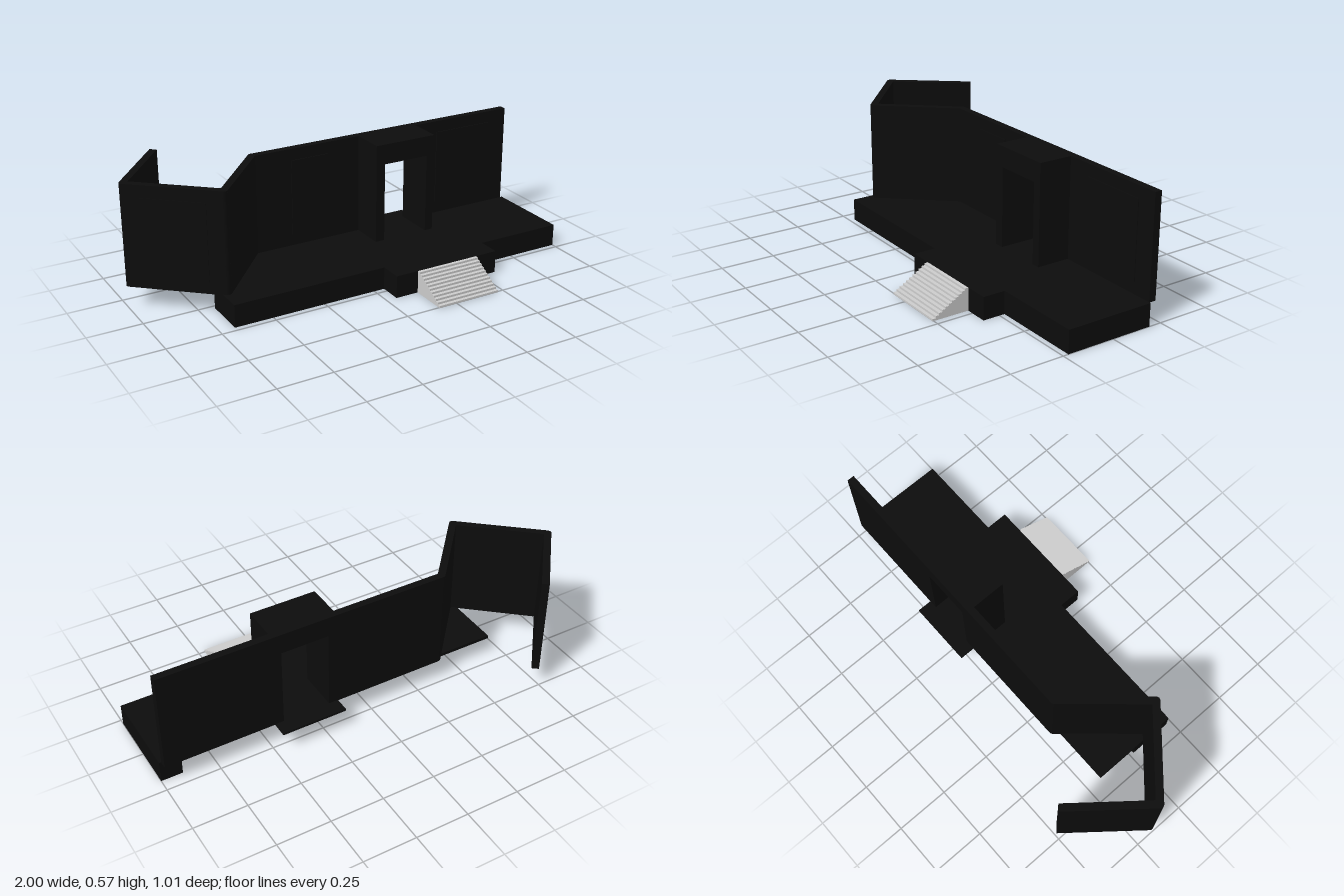
import * as THREE from 'three';

const black = new THREE.MeshStandardMaterial({ color: 0x0c0c0c });
const grey = new THREE.MeshStandardMaterial({ color: 0xcccccc });

const FLOOR = 0.105, WALL_BASE = 0.102, WALL_TOP = 0.575, THICK = 0.034;

function add(group, name, geometry, material = black) {
  const mesh = new THREE.Mesh(geometry, material);
  mesh.name = name;
  group.add(mesh);
  return mesh;
}

// Box given by its extents on each axis
function box(group, name, [x0, x1], [y0, y1], [z0, z1], material = black) {
  const mesh = add(group, name, new THREE.BoxGeometry(x1 - x0, y1 - y0, z1 - z0), material);
  mesh.position.set((x0 + x1) / 2, (y0 + y1) / 2, (z0 + z1) / 2);
  return mesh;
}

// Upright sheet with a doorway notch, extruded between two depths
function doorSheet(group, name, x0, x1, z0, z1) {
  const s = new THREE.Shape([
    [x0, WALL_BASE], [0.205, WALL_BASE], [0.205, 0.48], [0.43, 0.48],
    [0.43, WALL_BASE], [x1, WALL_BASE], [x1, WALL_TOP], [x0, WALL_TOP],
  ].map(([x, y]) => new THREE.Vector2(x, y)));
  const geo = new THREE.ExtrudeGeometry(s, { depth: z1 - z0, bevelEnabled: false });
  add(group, name, geo).position.z = z0;
}

// Straight wall panel between two plan points
function wallPanel(group, name, [xa, za], [xb, zb]) {
  const dx = xb - xa, dz = zb - za;
  const h = WALL_TOP - WALL_BASE;
  const mesh = add(group, name, new THREE.BoxGeometry(Math.hypot(dx, dz), h, THICK));
  mesh.position.set((xa + xb) / 2, WALL_BASE + h / 2, (za + zb) / 2);
  mesh.rotation.y = -Math.atan2(dz, dx);
  return mesh;
}

export function createModel() {
  const model = new THREE.Group();
  model.name = 'stage';

  // Platform: thin floor on a skirt that is open at the back
  const platform = new THREE.Group();
  platform.name = 'platform';
  model.add(platform);
  box(platform, 'floor', [-0.68, 1], [0.09, FLOOR], [-0.19, 0.225]);
  box(platform, 'frontSkirt', [-0.68, 1], [0, 0.09], [0.125, 0.225]);
  box(platform, 'leftSkirt', [0.9, 1], [0, 0.09], [-0.19, 0.125]);
  box(platform, 'rightSkirt', [-0.68, -0.58], [0, 0.09], [0.02, 0.125]);
  box(platform, 'frontLanding', [0.05, 0.58], [0, FLOOR], [0.225, 0.33]);
  box(platform, 'backThreshold', [0.16, 0.47], [0.095, FLOOR], [-0.295, -0.19]);

  // Stairs: one stepped profile extruded across the width
  const steps = 11, tread = 0.175 / steps, rise = FLOOR / steps;
  const profile = new THREE.Shape();
  profile.moveTo(0, 0);
  profile.lineTo(0.175, 0);
  for (let i = 0; i < steps; i++) {
    profile.lineTo(0.175 - i * tread, (i + 1) * rise);
    profile.lineTo(0.175 - (i + 1) * tread, (i + 1) * rise);
  }
  const stairs = add(model, 'stairs',
    new THREE.ExtrudeGeometry(profile, { depth: 0.31, bevelEnabled: false }), grey);
  stairs.rotation.y = -Math.PI / 2;
  stairs.position.set(0.47, 0, 0.33);

  // Back wall and the deep door portal in front of it
  doorSheet(model, 'backWall', -0.375, 0.99, -0.225, -0.191);
  doorSheet(model, 'doorPortal', 0.16, 0.47, -0.191, -0.03);

  // Folding side wall with rounded joints
  const folds = [[-0.375, -0.208], [-0.655, 0.111], [-0.983, -0.176], [-0.724, -0.493]];
  const names = ['innerWing', 'middleWing', 'outerWing'];
  const wings = names.map((name, i) => wallPanel(model, name, folds[i], folds[i + 1]));
  for (const [x, z] of folds.slice(0, 3)) {
    const h = WALL_TOP - WALL_BASE;
    add(model, 'wallJoint', new THREE.CylinderGeometry(THICK / 2, THICK / 2, h, 24))
      .position.set(x, WALL_BASE + h / 2, z);
  }

  // Shallow raised panels on the walls
  box(model, 'wallPanelLeft', [0.59, 0.9], [0.16, 0.52], [-0.192, -0.187]);
  box(model, 'wallPanelRight', [-0.19, 0], [0.16, 0.52], [-0.192, -0.187]);
  const wingPanel = add(wings[1], 'wingPanel', new THREE.BoxGeometry(0.29, 0.36, 0.005));
  wingPanel.position.z = -THICK / 2 - 0.001;

  // The middle wing runs toward -x, so its local -z side faces the front
  return model;
}
